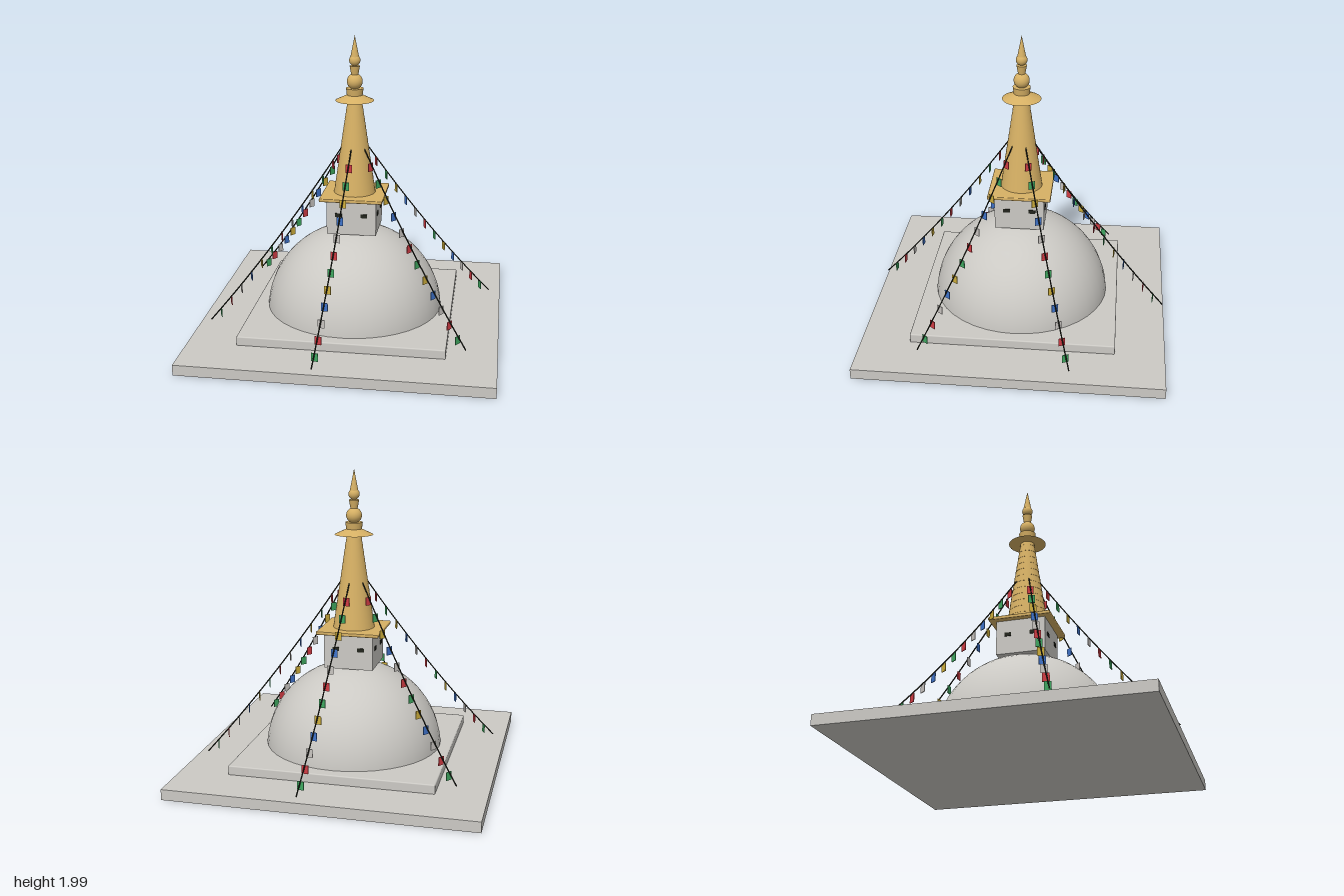
import * as THREE from 'three';
import { RoundedBoxGeometry } from 'three/addons/geometries/RoundedBoxGeometry.js';

const material = (name, color, side = THREE.FrontSide) => {
  const m = new THREE.MeshStandardMaterial({ color, side });
  m.name = name;
  return m;
};

export function createModel() {
  const stone = material('stone', 0xcbc9c4);
  const gold = material('gold', 0xd6b064);
  const goldSheet = gold;
  const dark = material('dark', 0x22241c);
  const flagColors = [
    material('red', 0xd23c44),
    material('green', 0x3fa860),
    material('yellow', 0xd0b03c),
    material('blue', 0x3f74cc),
    material('white', 0xc9c5c1),
  ];

  const model = new THREE.Group();
  model.name = 'stupa';
  const add = (parent, name, geometry, mat, x = 0, y = 0, z = 0) => {
    const mesh = new THREE.Mesh(geometry, mat);
    mesh.name = name;
    mesh.position.set(x, y, z);
    parent.add(mesh);
    return mesh;
  };

  // Square platform and terrace
  add(model, 'platform', new THREE.BoxGeometry(2, 0.07, 2), stone, 0, 0.035);
  add(model, 'terrace', new RoundedBoxGeometry(1.35, 0.065, 1.35, 2, 0.008), stone, 0, 0.0985);

  // Dome
  add(model, 'dome', new THREE.SphereGeometry(0.6, 40, 16, 0, Math.PI * 2, 0, Math.PI / 2), stone, 0, 0.085);

  // Square tower with a pair of dark eyes on each side
  add(model, 'tower', new THREE.BoxGeometry(0.33, 0.235, 0.33), stone, 0, 0.7975);
  for (let i = 0; i < 4; i++) {
    const face = new THREE.Group();
    face.name = 'eyes';
    face.rotation.y = i * Math.PI / 2;
    for (const s of [-1, 1]) {
      add(face, 'eye', new THREE.BoxGeometry(0.045, 0.025, 0.008), dark, s * 0.085, 0.815, 0.166);
    }
    model.add(face);
  }
  add(model, 'towerRoof', new RoundedBoxGeometry(0.42, 0.022, 0.42, 2, 0.006), gold, 0, 0.925);

  // Thirteen stacked rings, each flaring a little at its foot
  const rings = 13, ringHeight = 0.05;
  for (let i = 0; i < rings; i++) {
    const r = 0.14 - 0.088 * i / (rings - 1);
    add(model, 'spireRing', new THREE.CylinderGeometry(r - 0.009, r, ringHeight, 32), gold,
      0, 0.935 + (i + 0.5) * ringHeight);
  }

  // Parasol and finial
  add(model, 'parasol', new THREE.CylinderGeometry(0.05, 0.128, 0.037, 32), goldSheet, 0, 1.579);
  add(model, 'collar', new THREE.CylinderGeometry(0.058, 0.052, 0.045, 24), gold, 0, 1.62);
  add(model, 'lowerBall', new THREE.SphereGeometry(0.052, 24, 16), gold, 0, 1.687);
  add(model, 'vase', new THREE.CylinderGeometry(0.034, 0.022, 0.065, 24), gold, 0, 1.757);
  add(model, 'upperBall', new THREE.SphereGeometry(0.037, 24, 16), gold, 0, 1.826);
  add(model, 'tip', new THREE.ConeGeometry(0.028, 0.14, 24), gold, 0, 1.92);

  // Six sagging ropes, each hung with twelve flags
  const ropePoint = (t) => new THREE.Vector3(
    0.078 + 0.922 * t, 1.265 - 1.16 * t - 0.18 * t * (1 - t), 0);
  const ropeCurve = new THREE.CatmullRomCurve3(
    Array.from({ length: 9 }, (_, i) => ropePoint(i / 8)));
  const ropeGeometry = new THREE.TubeGeometry(ropeCurve, 16, 0.0045, 6);
  const flagGeometry = new THREE.BoxGeometry(0.005, 0.055, 0.043);
  for (let k = 0; k < 6; k++) {
    const line = new THREE.Group();
    line.name = 'flagLine';
    line.rotation.y = -THREE.MathUtils.degToRad(37 + 60 * k);
    add(line, 'rope', ropeGeometry, dark);
    for (let i = 1; i <= 12; i++) {
      const p = ropePoint(i / 13);
      add(line, 'flag', flagGeometry, flagColors[(i - 1) % 5], p.x, p.y - 0.03, 0);
    }
    model.add(line);
  }
  return model;
}
